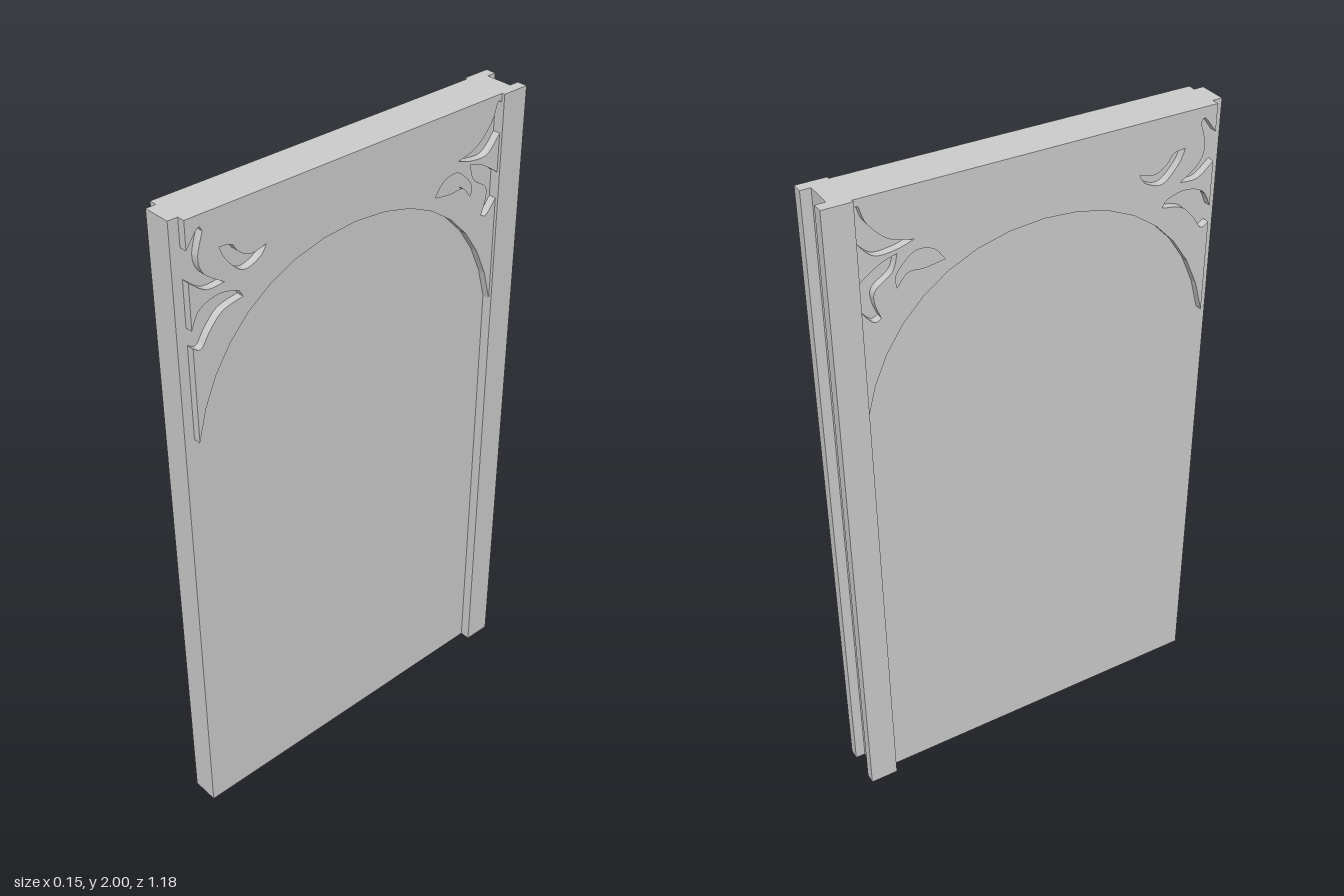
import * as THREE from 'three';

const H = 2;                      // overall height
const CORE = 0.042;               // half thickness of the panel
const FACE = 0.065;               // half thickness over the arch ornament
const POST = 0.074;               // half thickness of the rear post
const FRONT = -0.56, REAR = 0.504; // ornament ends, measured along -z

const v = ([x, y]) => new THREE.Vector2(x, y);
const material = new THREE.MeshStandardMaterial({ color: 0xcccccc });

function addMesh(group, name, geometry) {
  const mesh = new THREE.Mesh(geometry, material);
  mesh.name = name;
  group.add(mesh);
  return mesh;
}

// Follow smooth curves that meet in sharp leaf tips
function leaf(path, ...curves) {
  for (const c of curves) path.splineThru(c.map(v));
}

function archShape() {
  const s = new THREE.Shape();
  s.moveTo(FRONT, 1.365);
  s.lineTo(FRONT, 1.65);
  // lower front leaf, open at the edge
  leaf(s,
    [[-0.535, 1.64], [-0.506, 1.68], [-0.464, 1.72], [-0.4, 1.735]],
    [[-0.416, 1.757], [-0.475, 1.77], [-0.533, 1.75], [FRONT, 1.7]]);
  s.lineTo(FRONT, 1.835);
  // upper front leaf, open at the edge
  leaf(s,
    [[-0.51, 1.797], [-0.454, 1.797]],
    [[-0.512, 1.84], [-0.528, 1.89], [-0.51, 1.955]],
    [[-0.523, 1.967], [FRONT, 1.92]]);
  s.lineTo(FRONT, H);
  s.lineTo(REAR, H);
  s.lineTo(REAR, 1.975);
  // upper rear leaf
  leaf(s,
    [[0.49, 1.978], [0.47, 1.927], [0.416, 1.873], [0.347, 1.852]],
    [[0.4, 1.837], [0.459, 1.838], [REAR, 1.885]]);
  s.lineTo(REAR, 1.77);
  // lower rear leaf
  leaf(s,
    [[0.443, 1.81], [0.395, 1.826]],
    [[0.411, 1.778], [0.459, 1.741], [0.464, 1.704], [0.448, 1.656]],
    [[0.47, 1.651], [REAR, 1.69]]);
  s.lineTo(REAR, 1.365);
  // underside of the arch
  s.bezierCurveTo(0.452, 1.63, 0.262, 1.806, -0.028, 1.806);
  s.bezierCurveTo(-0.318, 1.806, -0.508, 1.63, FRONT, 1.365);

  // free-standing leaf at the front corner
  const a = new THREE.Path();
  a.moveTo(-0.464, 1.895);
  leaf(a,
    [[-0.443, 1.852], [-0.395, 1.808], [-0.342, 1.823], [-0.32, 1.852]],
    [[-0.369, 1.842], [-0.406, 1.862], [-0.427, 1.889], [-0.464, 1.895]]);
  // free-standing leaf at the rear corner
  const b = new THREE.Path();
  b.moveTo(0.263, 1.773);
  leaf(b,
    [[0.294, 1.81], [0.342, 1.82], [0.38, 1.793], [0.402, 1.762], [0.4, 1.73]],
    [[0.369, 1.765], [0.32, 1.765], [0.263, 1.773]]);
  s.holes.push(a, b);
  return s;
}

export function createModel() {
  const group = new THREE.Group();
  group.name = 'archedPanel';

  // Flat core panel
  const length = 0.59 + REAR;
  addMesh(group, 'panel', new THREE.BoxGeometry(CORE * 2, H, length))
    .position.set(0, H / 2, 0.59 - length / 2);

  // Arch ornament with cut-out leaves on both faces
  const depth = FACE - CORE;
  const arch = new THREE.ExtrudeGeometry(archShape(), { depth, bevelEnabled: false, curveSegments: 8 });
  arch.rotateY(Math.PI / 2);
  addMesh(group, 'leftArch', arch).position.x = CORE;
  addMesh(group, 'rightArch', arch).position.x = -FACE;

  // Rear post with a groove down its back
  const plan = new THREE.Shape([
    [-POST, REAR], [POST, REAR], [POST, 0.59], [CORE, 0.59],
    [CORE, 0.56], [-CORE, 0.56], [-CORE, 0.59], [-POST, 0.59],
  ].map(v));
  const post = new THREE.ExtrudeGeometry(plan, { depth: H, bevelEnabled: false });
  post.rotateX(-Math.PI / 2);
  addMesh(group, 'rearPost', post);

  return group;
}
